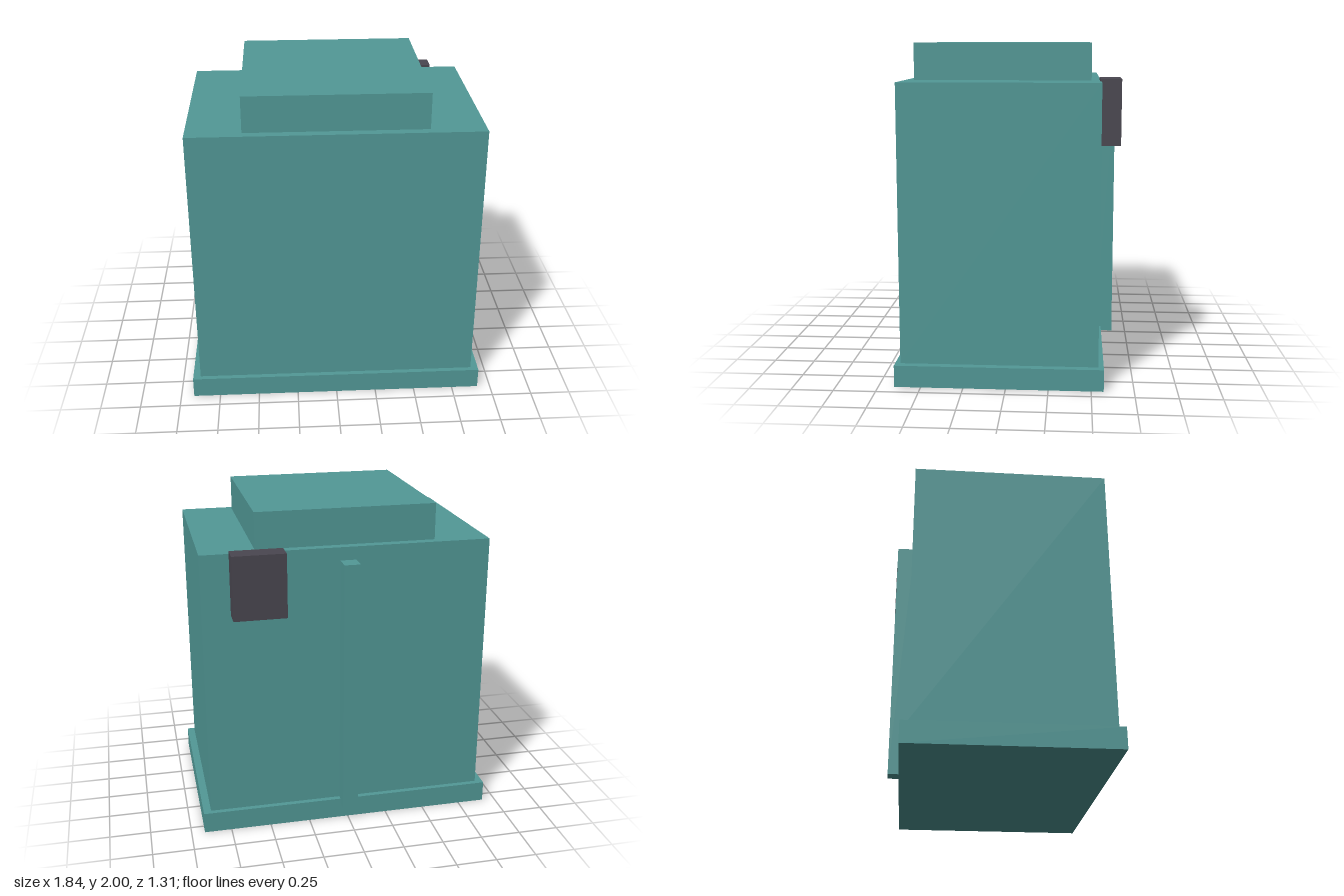
import * as THREE from 'three';

export function createModel() {
  const model = new THREE.Group();
  model.name = 'cabinet';

  const teal = new THREE.MeshStandardMaterial({ color: 0x529997 });
  teal.name = 'teal paint';
  const charcoal = new THREE.MeshStandardMaterial({ color: 0x4a4750 });
  charcoal.name = 'charcoal';

  // Box given by its extents along each axis
  function addBox(name, material, [x0, x1], [y0, y1], [z0, z1]) {
    const mesh = new THREE.Mesh(new THREE.BoxGeometry(x1 - x0, y1 - y0, z1 - z0), material);
    mesh.position.set((x0 + x1) / 2, (y0 + y1) / 2, (z0 + z1) / 2);
    mesh.name = name;
    model.add(mesh);
  }

  // Stacked housing
  addBox('basePlinth', teal, [-0.918, 0.918], [0, 0.13], [-0.573, 0.656]);
  addBox('mainBody', teal, [-0.871, 0.871], [0.13, 1.78], [-0.541, 0.625]);
  addBox('topCap', teal, [-0.543, 0.543], [1.78, 2], [-0.486, 0.571]);

  // Fittings on the back
  addBox('backRail', teal, [-0.048, 0.048], [0.1, 1.7], [-0.645, -0.535]);
  addBox('backControlBox', charcoal, [0.385, 0.7], [1.41, 1.795], [-0.658, -0.535]);

  return model;
}
